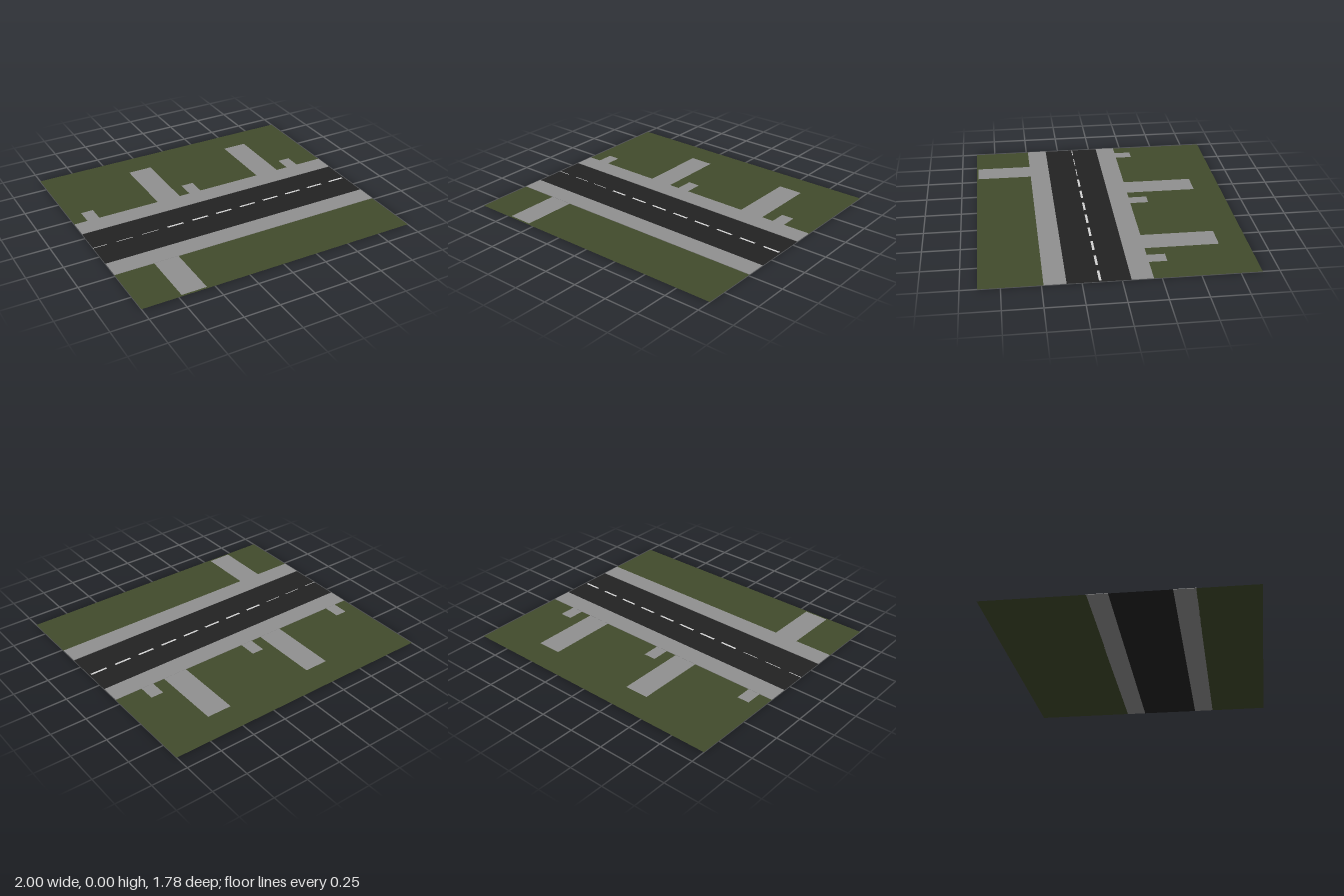
import * as THREE from 'three';

const material = (name, color) => {
  const m = new THREE.MeshStandardMaterial({ color, side: THREE.DoubleSide });
  m.name = name;
  return m;
};

export function createModel() {
  const group = new THREE.Group();
  const grass = material('grass', 0x424b2c);
  const asphalt = material('asphalt', 0x222222);
  const concrete = material('concrete', 0x909090);
  const paint = material('roadPaint', 0xd2d2d2);

  // Flat sheet covering a rectangle on the ground
  const sheet = (name, mat, x0, x1, z0, z1, y) => {
    const geo = new THREE.PlaneGeometry(x1 - x0, z1 - z0).rotateX(-Math.PI / 2);
    const mesh = new THREE.Mesh(geo, mat);
    mesh.position.set((x0 + x1) / 2, y, (z0 + z1) / 2);
    mesh.name = name;
    group.add(mesh);
  };

  // Lawns and road
  sheet('backLawn', grass, -1, 1, -0.89, -0.195, 0);
  sheet('frontLawn', grass, -1, 1, 0.485, 0.89, 0);
  sheet('road', asphalt, -1, 1, -0.058, 0.345, 0);

  // Raised pavements on both sides of the road
  const curbHeight = 0.003;
  for (const [name, z0, z1] of [['backSidewalk', -0.198, -0.058], ['frontSidewalk', 0.345, 0.487]]) {
    const mesh = new THREE.Mesh(new THREE.BoxGeometry(2, curbHeight, z1 - z0), concrete);
    mesh.position.set(0, curbHeight / 2, (z0 + z1) / 2);
    mesh.name = name;
    group.add(mesh);
  }

  // Driveways and garden paths
  const pathY = 0.0015;
  for (const [name, x0, x1, z0, z1] of [
    ['drivewayBackRight', -0.37, -0.195, -0.695, -0.198],
    ['drivewayBackLeft', 0.447, 0.625, -0.695, -0.198],
    ['drivewayFront', -0.725, -0.55, 0.487, 0.878],
    ['pathRight', -0.905, -0.817, -0.318, -0.198],
    ['pathMiddle', -0.116, -0.026, -0.328, -0.198],
    ['pathLeft', 0.712, 0.803, -0.318, -0.198],
  ]) sheet(name, concrete, x0, x1, z0, z1, pathY);

  // Dashed centre line, worn thin towards the right end
  for (let i = 0; i < 11; i++) {
    const centre = -0.964 + i * 0.189;
    const half = i < 3 ? 0.003 : 0.008;
    sheet('laneDash', paint, Math.max(-1, centre - 0.06), Math.min(1, centre + 0.062),
      0.136 - half, 0.136 + half, 0.0005);
  }
  return group;
}
